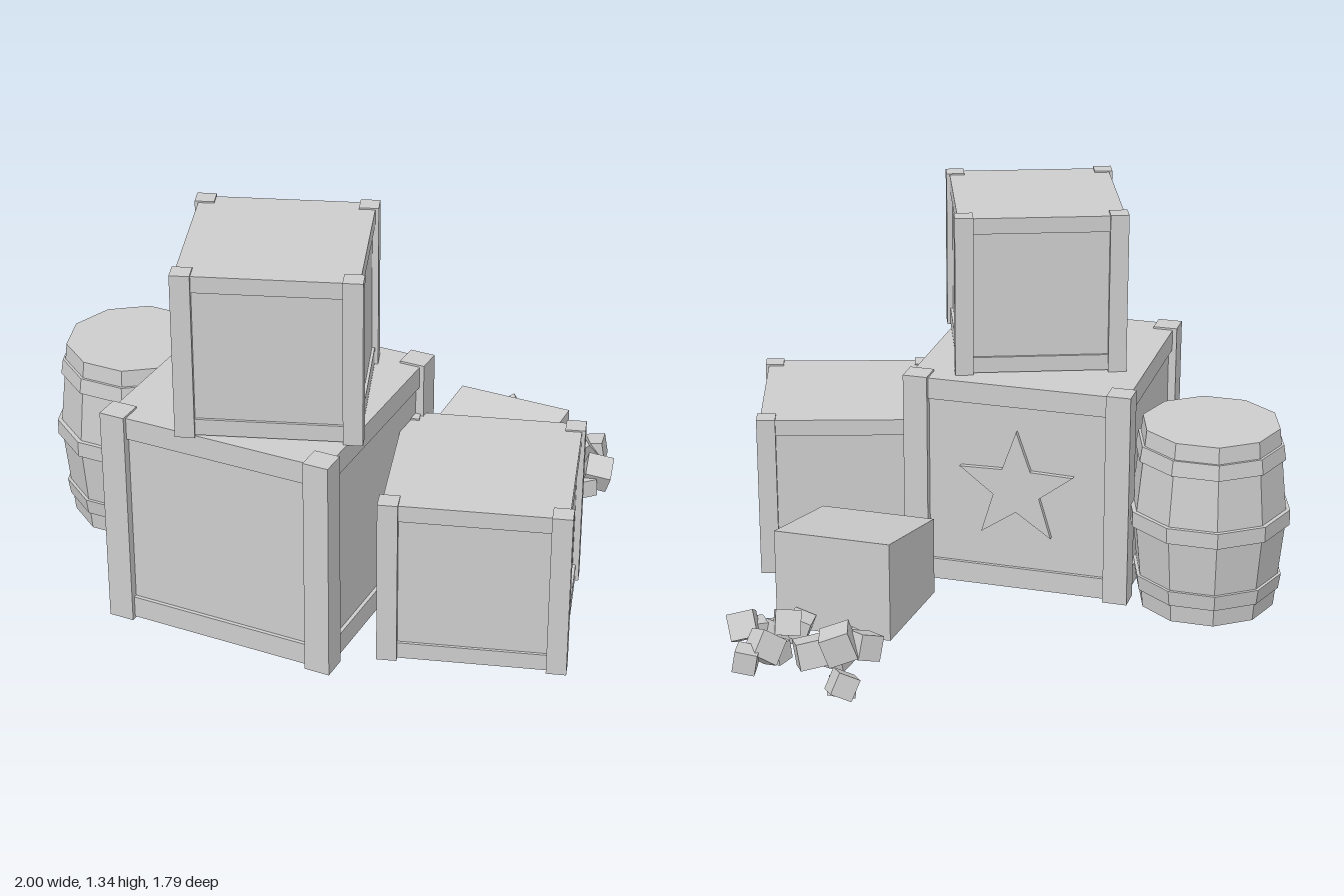
import * as THREE from 'three';

const grey = new THREE.MeshStandardMaterial({ color: 0xcccccc });
grey.name = 'plain grey';

function add(parent, name, geometry, x = 0, y = 0, z = 0) {
  const mesh = new THREE.Mesh(geometry, grey);
  mesh.name = name;
  mesh.position.set(x, y, z);
  parent.add(mesh);
  return mesh;
}

// Framed crate standing on its own y = 0: inset panels, rails and four corner posts
const W = 0.795, H = 0.76, POST = 0.085, RAIL = 0.075;
function crate(name, x, y, z, scale = 1, turn = 0) {
  const g = new THREE.Group();
  g.name = name;
  add(g, 'panels', new THREE.BoxGeometry(W - 0.055, H - 0.04, W - 0.055), 0, H / 2, 0);
  const rail = new THREE.BoxGeometry(W - 0.03, RAIL, W - 0.03);
  add(g, 'bottomRails', rail, 0, 0.007 + RAIL / 2, 0);
  add(g, 'topRails', rail, 0, H - 0.007 - RAIL / 2, 0);
  const post = new THREE.BoxGeometry(POST, H, POST);
  const p = (W - POST) / 2;
  for (const sx of [-1, 1]) for (const sz of [-1, 1]) add(g, 'cornerPost', post, sx * p, H / 2, sz * p);
  g.position.set(x, y, z);
  g.rotation.y = turn;
  g.scale.setScalar(scale);
  return g;
}

// Raised five-pointed emblem
function starGeometry(outer, inner, depth) {
  const shape = new THREE.Shape();
  for (let i = 0; i < 10; i++) {
    const r = i % 2 ? inner : outer, a = Math.PI / 2 + i * Math.PI / 5;
    shape[i ? 'lineTo' : 'moveTo'](r * Math.cos(a), r * Math.sin(a));
  }
  return new THREE.ExtrudeGeometry(shape, { depth, bevelEnabled: false });
}

// Ten-sided tapered ring section, flat faced, with corners on the x axis
function section(r0, r1, y0, y1) {
  const geometry = new THREE.CylinderGeometry(r1, r0, y1 - y0, 10).toNonIndexed();
  geometry.rotateY(Math.PI / 2);
  geometry.translate(0, (y0 + y1) / 2, 0);
  geometry.computeVertexNormals();
  return geometry;
}

function barrel() {
  const g = new THREE.Group();
  g.name = 'barrel';
  add(g, 'lowerStaves', section(0.235, 0.268, 0.04, 0.372));
  add(g, 'upperStaves', section(0.268, 0.235, 0.372, 0.69));
  add(g, 'lowerHoop', section(0.25, 0.258, 0.105, 0.16));
  add(g, 'middleHoop', section(0.28, 0.28, 0.345, 0.4));
  add(g, 'upperHoop', section(0.258, 0.25, 0.58, 0.633));
  g.position.set(-0.72, 0, 0.217);
  return g;
}

// Block with a sloping top, slightly skewed in plan
function slopedBlock() {
  const geometry = new THREE.BoxGeometry(0.4, 1, 0.395);
  const p = geometry.attributes.position;
  for (let i = 0; i < p.count; i++) {
    const back = p.getZ(i) < 0;
    p.setX(i, p.getX(i) + (back ? 0.015 : -0.015));
    p.setY(i, p.getY(i) < 0 ? 0.05 : back ? 0.4 : 0.327);
  }
  geometry.computeVertexNormals();
  return geometry;
}

export function createModel() {
  const model = new THREE.Group();
  model.name = 'crateStack';

  const large = crate('largeCrate', -0.077, 0.038, 0.47);
  const star = add(large, 'star', starGeometry(0.21, 0.085, 0.03), 0, H / 2, -W / 2 + 0.04);
  star.rotation.y = Math.PI;
  model.add(large);
  model.add(crate('topCrate', -0.022, 0.79, 0.51, 0.735, 0.349));
  model.add(crate('sideCrate', 0.618, 0.038, 0.345, 0.762, 0.3));
  model.add(barrel());
  add(model, 'slopedBlock', slopedBlock(), 0.395, 0, -0.233);

  // Scattered rubble: x, y, z, size, turn
  const rubble = new THREE.Group();
  rubble.name = 'rubble';
  [
    [0.235, 0.09, -0.84, 0.075, 0.6], [0.25, 0.06, -0.8, 0.065, 1.1],
    [0.32, 0.12, -0.63, 0.1, 0.3], [0.25, 0.1, -0.58, 0.085, 0.9],
    [0.3, 0.08, -0.53, 0.08, 0.6], [0.34, 0.06, -0.58, 0.08, 1.3],
    [0.425, 0.07, -0.62, 0.09, 0.5], [0.56, 0.1, -0.68, 0.09, 0.8],
    [0.6, 0.08, -0.74, 0.075, 0.2], [0.53, 0.07, -0.64, 0.065, 1.2],
    [0.535, 0.12, -0.53, 0.085, 0.4], [0.51, 0.09, -0.48, 0.075, 0.1],
    [0.57, 0.07, -0.5, 0.075, 0.9], [0.68, 0.1, -0.555, 0.09, 0.2],
    [0.655, 0.07, -0.505, 0.065, 0.7],
  ].forEach(([x, y, z, s, turn], i) => {
    const stone = add(rubble, 'stone', new THREE.BoxGeometry(s, s, s), x, y, z);
    stone.rotation.set(0.25 + 0.3 * Math.sin(i * 2.1), turn, 0.35 * Math.cos(i * 1.7));
  });
  model.add(rubble);
  return model;
}
